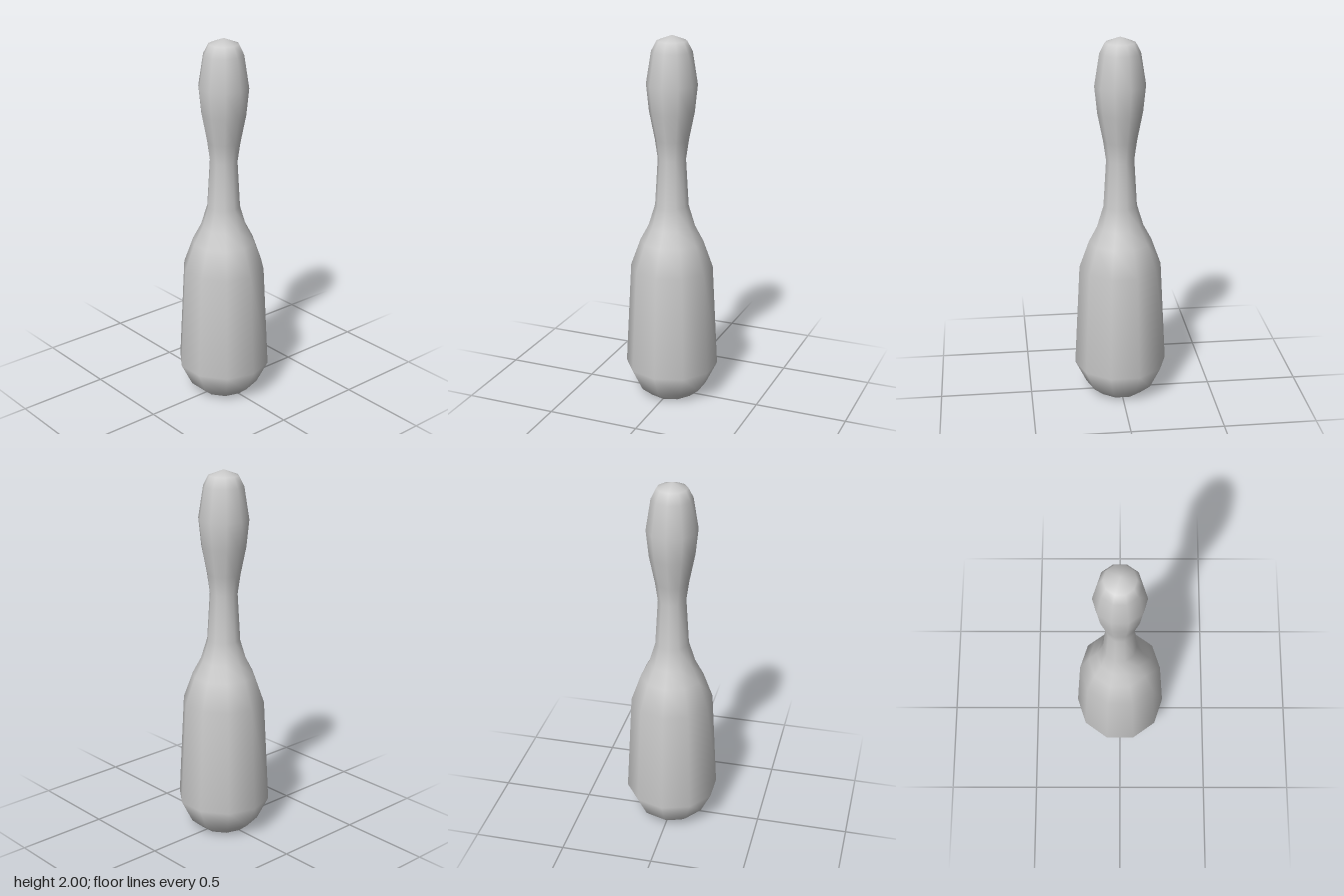
import * as THREE from 'three';

const SIDES = 10;

// Outline as [radius, height], from the foot up to the crown
const PROFILE = [
  [0.13, 0], [0.19, 0.05], [0.252, 0.175], [0.222, 0.745],
  [0.17, 0.89], [0.125, 0.975], [0.09, 1.09],
  [0.075, 1.345], [0.09, 1.45], [0.12, 1.6],
  [0.135, 1.745], [0.108, 1.915], [0.08, 1.97], [0, 2],
];

export function createModel() {
  const group = new THREE.Group();
  group.name = 'pin';
  const material = new THREE.MeshStandardMaterial({ color: 0xcccccc });

  // Smooth ten-sided body, with corners on the x axis
  const points = PROFILE.map(([r, y]) => new THREE.Vector2(r, y));
  const bodyGeometry = new THREE.LatheGeometry(points, SIDES, Math.PI / 2);

  // Round off the shading at the crown
  const normals = bodyGeometry.attributes.normal;
  for (let i = 0; i <= SIDES; i++) {
    normals.setXYZ(i * points.length + points.length - 1, 0, 1, 0);
  }
  const body = new THREE.Mesh(bodyGeometry, material);
  body.name = 'body';
  group.add(body);

  // Flat foot with a sharp rim
  const baseGeometry = new THREE.CircleGeometry(PROFILE[0][0], SIDES);
  baseGeometry.rotateX(Math.PI / 2);
  const base = new THREE.Mesh(baseGeometry, material);
  base.name = 'base';
  group.add(base);

  return group;
}
